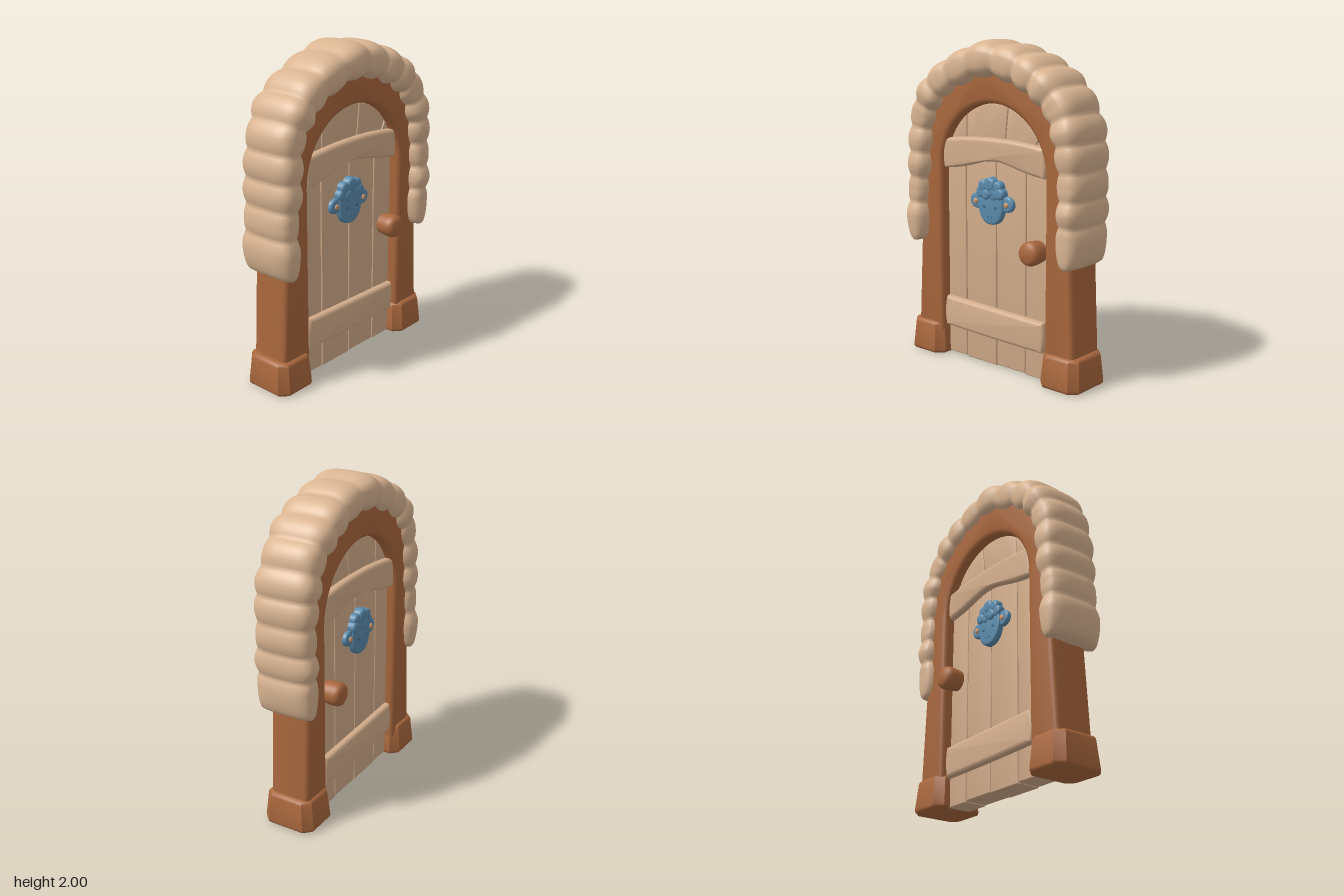
import * as THREE from 'three';
import { toCreasedNormals } from 'three/addons/utils/BufferGeometryUtils.js';

const mat = (name, color) => Object.assign(new THREE.MeshStandardMaterial({ color }), { name });
const MID = -0.015; // depth of the door's middle plane

export function createModel() {
  const wood = mat('brown wood', 0xa9673d);
  const plank = mat('pale planks', 0xd2ac8a);
  const wool = mat('tan wool', 0xdab592);
  const blue = mat('blue enamel', 0x5b8cae);
  const darkBlue = mat('dark blue', 0x41708f);
  const copper = mat('copper', 0xc8946c);
  const group = new THREE.Group();

  const add = (name, geometry, material) => {
    const mesh = new THREE.Mesh(geometry, material);
    mesh.name = name;
    group.add(mesh);
    return mesh;
  };

  // A bevelled slab through the door, so it shows on both faces
  const slab = (name, shape, half, bevel, material) => {
    const g = new THREE.ExtrudeGeometry(shape, {
      depth: 2 * (half - bevel), bevelEnabled: true, bevelThickness: bevel,
      bevelSize: bevel, bevelOffset: -bevel, bevelSegments: 3, curveSegments: 20,
    });
    g.translate(0, 0, MID - half + bevel);
    return add(name, toCreasedNormals(g, 0.7), material);
  };
  const polygon = (pts) => new THREE.Shape(pts.map(([x, y]) => new THREE.Vector2(x, y)));
  const ellipse = (x, y, rx, ry) => new THREE.Shape().absellipse(x, y, rx, ry, 0, Math.PI * 2);

  // Horseshoe frame
  const frame = new THREE.Shape();
  frame.moveTo(-0.635, 0.12);
  frame.lineTo(-0.41, 0.12);
  frame.lineTo(-0.41, 1.22);
  frame.absarc(0, 1.22, 0.41, Math.PI, 0, true);
  frame.lineTo(0.41, 0.12);
  frame.lineTo(0.63, 0.12);
  frame.lineTo(0.575, 1.25);
  frame.absellipse(0, 1.25, 0.575, 0.6, 0, Math.PI, false);
  slab('doorFrame', frame, 0.13, 0.03, wood);

  // Chunky feet, narrowing upward
  for (const [name, cx] of [['rightFoot', -0.543], ['leftFoot', 0.527]]) {
    const w = 0.145, d = 0.17, c = 0.05, h = 0.205, b = 0.025;
    const foot = polygon([[-w + c, -d], [w - c, -d], [w, -d + c], [w, d - c],
      [w - c, d], [-w + c, d], [-w, d - c], [-w, -d + c]]);
    const g = new THREE.ExtrudeGeometry(foot, {
      depth: h - 2 * b, bevelThickness: b, bevelSize: b, bevelOffset: -b, bevelSegments: 3,
    });
    g.translate(0, 0, b).rotateX(-Math.PI / 2);
    const p = g.attributes.position;
    for (let i = 0; i < p.count; i++) {
      const s = 1 - 0.6 * p.getY(i);
      p.setX(i, p.getX(i) * s);
      p.setZ(i, p.getZ(i) * s);
    }
    g.translate(cx, 0, -0.012);
    add(name, toCreasedNormals(g, 0.7), wood);
  }

  // Planks: straight ones below the upper bar, arched ones above it
  const gap = 0.002, split = 1.33;
  const lower = [-0.405, -0.25, -0.002, 0.23, 0.395];
  const feet = [0.012, 0.006, 0.01, 0.004];
  for (let i = 0; i < 4; i++) {
    const a = lower[i] + gap, b = lower[i + 1] - gap;
    slab('lowerPlank', polygon([[a, feet[i]], [b, feet[i]], [b, split], [a, split]]), 0.075, 0.008, plank);
  }
  const upperBase = [-0.4, -0.245, 0.055, 0.25, 0.4];
  const upperTop = [-0.4, -0.24, 0.09, 0.33, 0.4];
  for (let i = 0; i < 4; i++) {
    const pts = [[upperBase[i] + gap, 1.3], [upperBase[i + 1] - gap, 1.3]];
    for (let k = 0; k <= 10; k++) {
      const x = THREE.MathUtils.lerp(upperTop[i + 1] - gap, upperTop[i] + gap, k / 10);
      pts.push([x, 1.22 + Math.sqrt(Math.max(0.408 ** 2 - x * x, 0.01))]);
    }
    slab('upperPlank', polygon(pts), 0.074, 0.006, plank);
  }
  // Dark core seen through the cracks
  const core = polygon([[-0.36, 0.03], [0.36, 0.03], [0.36, 1.35], [0.2, 1.55], [-0.2, 1.55], [-0.36, 1.35]]);
  slab('doorCore', core, 0.06, 0.004, wood);

  // Cross bars
  const topBar = new THREE.Shape();
  topBar.moveTo(-0.405, 1.21);
  topBar.bezierCurveTo(-0.2, 1.225, -0.12, 1.285, 0, 1.285);
  topBar.bezierCurveTo(0.12, 1.285, 0.2, 1.235, 0.39, 1.22);
  topBar.quadraticCurveTo(0.41, 1.3, 0.385, 1.395);
  topBar.bezierCurveTo(0.2, 1.43, -0.15, 1.435, -0.395, 1.395);
  topBar.quadraticCurveTo(-0.425, 1.3, -0.405, 1.21);
  slab('upperBar', topBar, 0.115, 0.022, plank);
  const lowBar = new THREE.Shape();
  lowBar.moveTo(-0.4, 0.195);
  lowBar.quadraticCurveTo(0, 0.18, 0.38, 0.178);
  lowBar.quadraticCurveTo(0.405, 0.27, 0.385, 0.365);
  lowBar.quadraticCurveTo(0, 0.375, -0.395, 0.388);
  lowBar.quadraticCurveTo(-0.425, 0.29, -0.4, 0.195);
  slab('lowerBar', lowBar, 0.115, 0.022, plank);

  // Door knob, one barrel through both sides
  const knobProfile = [[0, -0.195], [0.045, -0.195], [0.062, -0.186], [0.072, -0.165], [0.072, -0.13], [0.064, -0.07],
    [0.064, 0.07], [0.072, 0.13], [0.072, 0.165], [0.062, 0.186], [0.045, 0.195], [0, 0.195]];
  const knob = new THREE.LatheGeometry(knobProfile.map(([r, y]) => new THREE.Vector2(r, y)), 28);
  knob.rotateX(Math.PI / 2).translate(0.33, 0.787, MID);
  add('doorKnob', toCreasedNormals(knob, 0.8), wood);

  // Sheep head plaque
  const ex = -0.022;
  const face = new THREE.Shape();
  face.moveTo(ex - 0.1, 1.08);
  face.bezierCurveTo(ex - 0.11, 1.0, ex - 0.09, 0.9, ex, 0.9);
  face.bezierCurveTo(ex + 0.09, 0.9, ex + 0.11, 1.0, ex + 0.1, 1.08);
  face.bezierCurveTo(ex + 0.06, 1.15, ex - 0.06, 1.15, ex - 0.1, 1.08);
  slab('sheepFace', face, 0.112, 0.014, blue);
  for (const s of [-1, 1]) {
    slab('sheepEar', ellipse(ex + s * 0.118, 1.035, 0.053, 0.048), 0.102, 0.012, blue);
    slab('earRivet', ellipse(ex + s * 0.122, 1.033, 0.017, 0.017), 0.113, 0.008, copper);
    slab('sheepEye', ellipse(ex + s * 0.045, 1.008, 0.013, 0.01), 0.114, 0.001, darkBlue);
    slab('sheepNostril', ellipse(ex + s * 0.014, 0.95, 0.005, 0.008), 0.114, 0.001, darkBlue);
  }
  const curls = [[-0.075, 1.095, 0.036], [-0.055, 1.135, 0.036], [0, 1.148, 0.042], [0.055, 1.135, 0.036],
    [0.075, 1.095, 0.036], [-0.03, 1.085, 0.034], [0.03, 1.085, 0.034], [0, 1.11, 0.04]];
  curls.forEach(([x, y, r], i) =>
    slab('sheepCurl', ellipse(ex + x, y, r, r), 0.12 + 0.003 * (i % 3), 0.016, blue));

  // Woolly arch: lobe centres and half widths along the arch
  const lobes = [[-0.6, 0.735, 0.035], [-0.605, 0.9, 0.092], [-0.6, 1.06, 0.088], [-0.585, 1.22, 0.098],
    [-0.575, 1.38, 0.103], [-0.55, 1.53, 0.11], [-0.485, 1.66, 0.115], [-0.385, 1.755, 0.115],
    [-0.235, 1.83, 0.115], [-0.045, 1.885, 0.115], [0.14, 1.86, 0.115], [0.28, 1.81, 0.115],
    [0.405, 1.735, 0.115], [0.5, 1.635, 0.115], [0.56, 1.5, 0.108], [0.585, 1.36, 0.1],
    [0.595, 1.2, 0.094], [0.595, 1.05, 0.088], [0.59, 0.9, 0.092], [0.59, 0.735, 0.035]];
  const path = new THREE.CatmullRomCurve3(lobes.map(([x, y]) => new THREE.Vector3(x, y, 0)));
  const steps = 10, sides = 32, last = lobes.length - 1, rings = last * steps;
  const pos = [], idx = [];
  const round = (v) => Math.sign(v) * Math.abs(v) ** 0.68;
  const depthOf = (i) => 0.188 + 0.01 * Math.sin(i * 2.3);
  for (let i = 0; i <= rings; i++) {
    const c = path.getPoint(i / rings), t = path.getTangent(i / rings);
    const k = Math.min(Math.floor(i / steps), last - 1), u = i / steps - k;
    const groove = (1 - Math.abs(2 * u - 1)) ** 2;
    const tip = k === 0 ? u : k === last - 1 ? 1 - u : 1;
    const grow = tip < 1 ? Math.sqrt(1 - (1 - tip) ** 2) : 1;
    const w = tip < 1 ? 0.035 + 0.057 * grow
      : THREE.MathUtils.lerp(lobes[k][2], lobes[k + 1][2], u) * (1 - 0.2 * groove);
    const d = THREE.MathUtils.lerp(depthOf(k), depthOf(k + 1), u)
      * (tip < 1 ? 0.9 + 0.1 * grow : 1 - 0.08 * groove);
    for (let j = 0; j < sides; j++) {
      const a = (j / sides) * Math.PI * 2, n = w * round(Math.cos(a));
      pos.push(c.x - t.y * n, c.y + t.x * n, d * round(Math.sin(a)));
      const j2 = (j + 1) % sides, p = i * sides + j, q = i * sides + j2;
      if (i < rings) idx.push(p, q, q + sides, p, q + sides, p + sides);
    }
  }
  // Close both tips
  for (const [ring, flip] of [[0, true], [rings, false]]) {
    const centre = pos.length / 3, c = path.getPoint(ring / rings);
    pos.push(c.x, c.y - 0.008, 0);
    for (let j = 0; j < sides; j++) {
      const p = ring * sides + j, q = ring * sides + ((j + 1) % sides);
      idx.push(centre, flip ? q : p, flip ? p : q);
    }
  }
  const woolGeo = new THREE.BufferGeometry();
  woolGeo.setAttribute('position', new THREE.Float32BufferAttribute(pos, 3));
  woolGeo.setIndex(idx);
  woolGeo.computeVertexNormals();
  add('woolArch', woolGeo, wool);

  return group;
}
